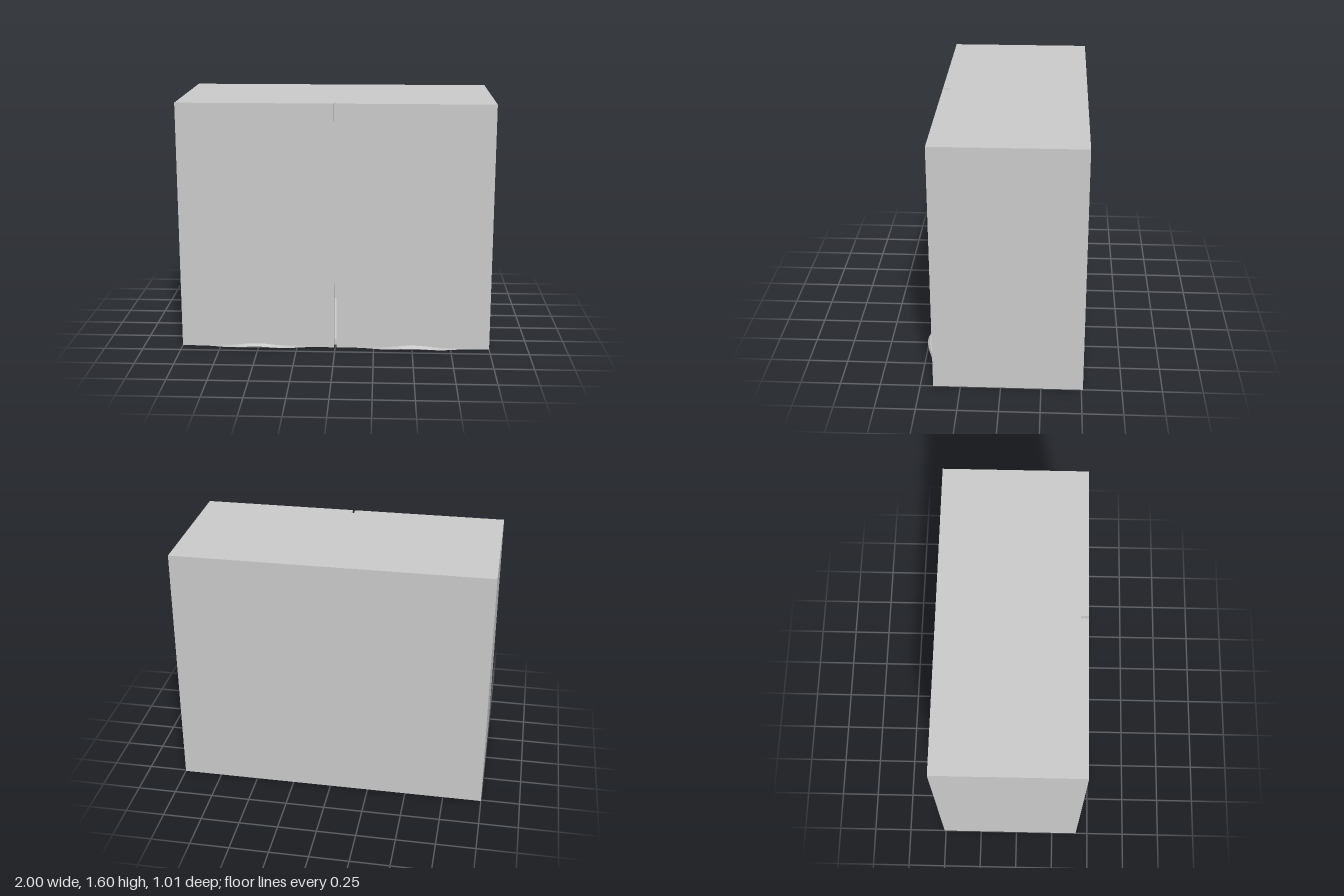
import * as THREE from 'three';
import { toCreasedNormals } from 'three/addons/utils/BufferGeometryUtils.js';

const H = 1.6, BACK = -0.51, SEAM = 0.37, FRONT = 0.42, T = 0.04, GAP = 0.008;
const material = new THREE.MeshStandardMaterial({ color: 0xcccccc });

// Box given by its minimum and maximum corners
function panel(name, [x0, y0, z0], [x1, y1, z1]) {
  const geo = new THREE.BoxGeometry(x1 - x0, y1 - y0, z1 - z0);
  geo.translate((x0 + x1) / 2, (y0 + y1) / 2, (z0 + z1) / 2);
  const mesh = new THREE.Mesh(geo, material);
  mesh.name = name;
  return mesh;
}

// Upturned finger lip: an arc cross-section whose reach swells along x
function lipGeometry() {
  const half = 0.37, reach = 0.085, R = 0.135, nx = 48, nz = 8;
  const ring = 2 * (nz + 1), pos = [], idx = [];
  for (let i = 0; i <= nx; i++) {
    const u = (i / nx) * 2 - 1;
    const d = 0.001 + (reach - 0.001) * Math.cos(u * Math.PI / 2) ** 2;
    const lower = [], upper = [];
    for (let j = 0; j <= nz; j++) {
      const z = d * j / nz;
      const y = R - Math.sqrt(R * R - z * z);
      const t = 0.008 + 0.014 * z / reach;
      lower.push([u * half, y, z]);
      upper.unshift([u * half, y + t * (R - y) / R, z - t * z / R]);
    }
    pos.push(...lower.flat(), ...upper.flat());
  }
  for (let i = 0; i < nx; i++) {
    for (let j = 0; j < ring; j++) {
      const k = (j + 1) % ring;
      const a = i * ring + j, b = a + ring, c = (i + 1) * ring + k, d = i * ring + k;
      idx.push(a, b, c, a, c, d);
    }
  }
  const geo = new THREE.BufferGeometry();
  geo.setAttribute('position', new THREE.Float32BufferAttribute(pos, 3));
  geo.setIndex(idx);
  return toCreasedNormals(geo, 0.6);
}

export function createModel() {
  const model = new THREE.Group();
  model.name = 'cabinet';

  // Hollow carcass
  const carcass = new THREE.Group();
  carcass.name = 'carcass';
  carcass.add(
    panel('rightSide', [-1, 0, BACK], [-1 + T, H, SEAM]),
    panel('leftSide', [1 - T, 0, BACK], [1, H, SEAM]),
    panel('bottomPanel', [-1 + T, 0, BACK], [1 - T, T, SEAM]),
    panel('topPanel', [-1 + T, H - T, BACK], [1 - T, H, SEAM]),
    panel('backPanel', [-1 + T, T, BACK], [1 - T, H - T, BACK + T]),
  );
  model.add(carcass);

  // Pair of doors, each with a finger lip at its foot
  const lip = lipGeometry();
  for (const [side, s] of [['left', 1], ['right', -1]]) {
    const door = new THREE.Group();
    door.name = side + 'Door';
    const x0 = s > 0 ? GAP : -1, x1 = s > 0 ? 1 : -GAP;
    const pull = new THREE.Mesh(lip, material);
    pull.name = side + 'FingerPull';
    pull.position.set(s * (1 + GAP) / 2, 0, FRONT);
    door.add(panel(side + 'DoorPanel', [x0, 0, SEAM], [x1, H, FRONT]), pull);
    model.add(door);
  }
  return model;
}
